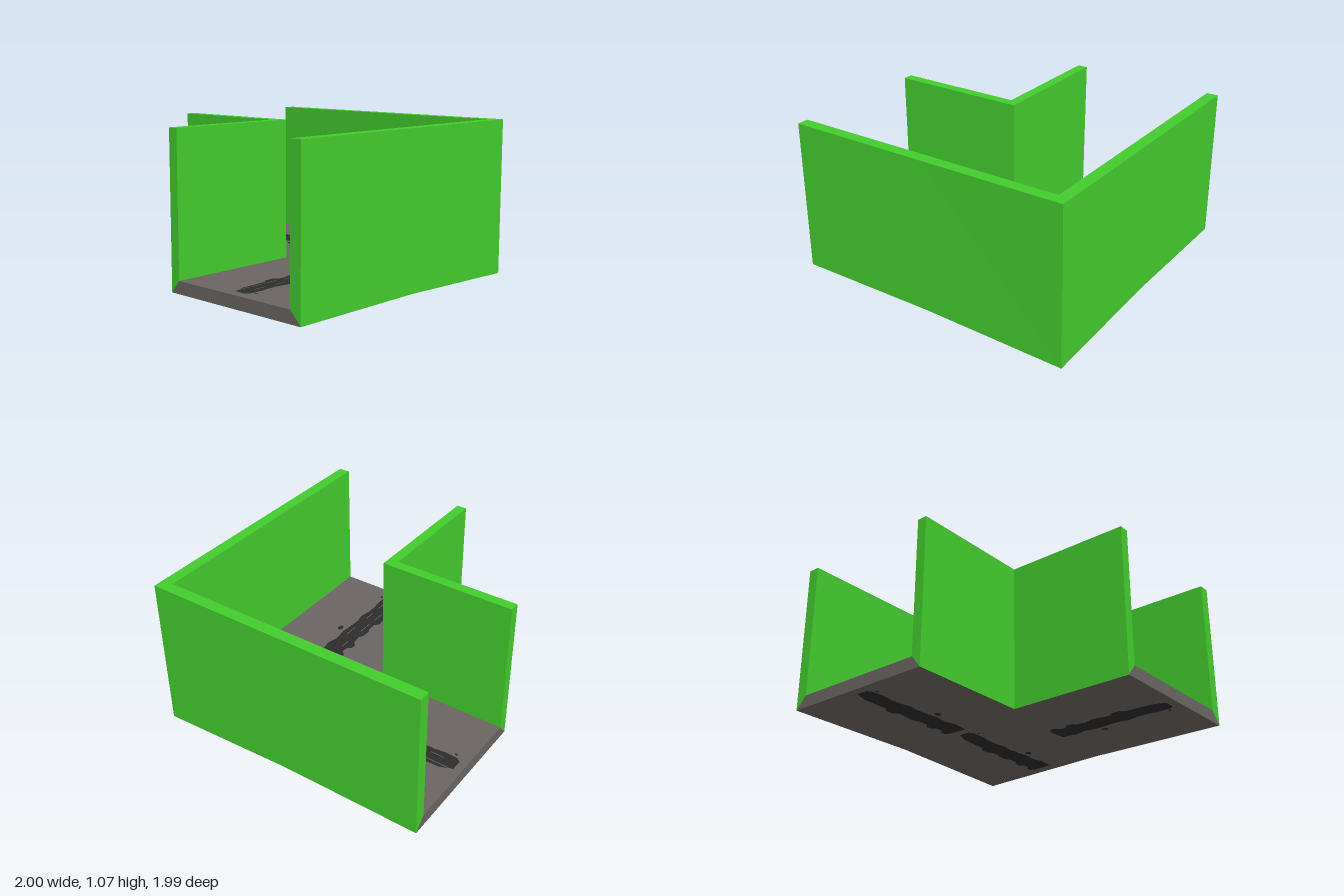
import * as THREE from 'three';

const OUT = 0.99, OUT_IN = 0.91, IN_IN = -0.05, IN = -0.12; // wall offsets across the corridor
const TOP = 1.07, FLOOR = 0.12, BASE = 0.035;

// Point of the L-shaped sweep: offset o across the corridor, station s along it (corner is 2)
function sweepPoint([o, y], s) {
  if (s === 2) return o === OUT && y === BASE ? [1, 0, 0.985] : [o, y, o];
  const mid = o > 0.5 ? 0 : -0.2;
  if (s < 2) return [s === 0 ? -1 : mid, y, o];
  return [o, y, s === 4 ? -0.995 : mid];
}

// Sweep a four-point section round the corner and cap both ends
function sweep(section) {
  const pos = [];
  const tri = (...p) => p.forEach((q) => pos.push(...q));
  for (let s = 0; s < 4; s++) {
    section.forEach((a, i) => {
      const b = section[(i + 1) % 4];
      const a0 = sweepPoint(a, s), a1 = sweepPoint(a, s + 1);
      const b0 = sweepPoint(b, s), b1 = sweepPoint(b, s + 1);
      if (s < 2) { tri(a0, a1, b0); tri(a1, b1, b0); }
      else { tri(a0, a1, b1); tri(a0, b1, b0); }
    });
  }
  const [p0, p1, p2, p3] = section.map((p) => sweepPoint(p, 0));
  tri(p0, p1, p2); tri(p0, p2, p3);
  const [q0, q1, q2, q3] = section.map((p) => sweepPoint(p, 4));
  tri(q0, q2, q1); tri(q0, q3, q2);
  const geo = new THREE.BufferGeometry();
  geo.setAttribute('position', new THREE.Float32BufferAttribute(pos, 3));
  geo.computeVertexNormals();
  return geo;
}

// Height of the underside, which sags toward the outer corner
function underside(x, z) {
  const w = (Math.min(x, z) - 0.108 * Math.max(x, z) + 0.107) / 0.99;
  return BASE * (1 - Math.max(0, w));
}

// Ragged edges of a painted stripe: [distance along, distance across]
const RIGHT = [[0, 0.03], [0.05, 0.05], [0.09, 0.065], [0.28, 0.07], [0.31, 0.095], [0.37, 0.1], [0.4, 0.07],
  [0.45, 0.07], [0.5, 0.085], [0.55, 0.085], [0.6, 0.065], [0.67, 0.075], [0.69, 0.1], [0.73, 0.1], [0.76, 0.07],
  [0.81, 0.07], [0.83, 0.1], [0.87, 0.1], [0.89, 0.07]];
const LEFT = [[0, -0.05], [0.03, -0.07], [0.12, -0.075], [0.2, -0.062], [0.28, -0.065], [0.36, -0.08], [0.42, -0.065],
  [0.52, -0.07], [0.6, -0.078], [0.7, -0.064], [0.78, -0.085], [0.83, -0.075], [0.89, -0.07]];

function edgeAt(table, u) {
  const i = Math.max(1, table.findIndex((p) => p[0] >= u - 1e-6));
  const [u0, v0] = table[i - 1], [u1, v1] = table[i];
  return v0 + ((v1 - v0) * (u - u0)) / (u1 - u0);
}

function stripeGeometry() {
  const geo = new THREE.PlaneGeometry(0.89, 1, 89, 2).translate(0.445, 0.5, 0);
  const p = geo.attributes.position;
  for (let i = 0; i < p.count; i++) {
    const u = Math.min(0.89, Math.max(0, p.getX(i)));
    p.setY(i, THREE.MathUtils.lerp(edgeAt(LEFT, u), edgeAt(RIGHT, u), p.getY(i)));
  }
  return geo;
}

const blob = (u, v, ru, rv) => new THREE.CircleGeometry(1, 12).scale(ru, rv, 1).translate(u, v, 0);
const slit = (u, v, len) => new THREE.PlaneGeometry(len, 0.006, 8, 1).translate(u, v, 0);

// Lay flat (along, across) geometry onto the floor
function lay(geo, place, height) {
  const p = geo.attributes.position;
  for (let i = 0; i < p.count; i++) {
    const [x, z] = place(p.getX(i), p.getY(i));
    p.setXYZ(i, x, height(x, z), z);
  }
  geo.computeVertexNormals();
  return geo;
}

export function createModel() {
  const green = new THREE.MeshStandardMaterial({ color: 0x43cb2d });
  const grey = new THREE.MeshStandardMaterial({ color: 0x6a6562 });
  const dark = new THREE.MeshStandardMaterial({ color: 0x2c2c2c, side: THREE.DoubleSide });
  green.name = 'wallGreen';
  grey.name = 'floorGrey';
  dark.name = 'paintDark';

  const model = new THREE.Group();
  model.name = 'cornerCorridor';
  const add = (name, geo, mat, parent = model) => {
    const mesh = new THREE.Mesh(geo, mat);
    mesh.name = name;
    parent.add(mesh);
  };

  // Walls and floor slab, with bevelled joints between them
  add('outerWall', sweep([[OUT, BASE], [OUT, TOP], [OUT_IN, TOP], [OUT_IN, FLOOR]]), green);
  add('innerWall', sweep([[IN_IN, FLOOR], [IN_IN, TOP], [IN, TOP], [IN, BASE]]), green);
  add('floor', sweep([[OUT, BASE], [OUT_IN, FLOOR], [IN_IN, FLOOR], [IN, BASE]]), grey);

  // Worn stripes, on the floor and on the underside
  const places = {
    backStripe: (u, v) => [0.44 + v, -0.94 + u],
    cornerStripe: (u, v) => [0.44 + v, 0.01 + u],
    sideStripe: (u, v) => [-0.94 + u, 0.43 - v],
  };
  const sides = {
    Upper: (lift) => () => FLOOR + lift,
    Lower: (lift) => (x, z) => underside(x, z) - lift,
  };
  for (const [name, place] of Object.entries(places)) {
    for (const [side, height] of Object.entries(sides)) {
      const group = new THREE.Group();
      group.name = name + side;
      model.add(group);
      add('stripe', lay(stripeGeometry(), place, height(0.003)), dark, group);
      add('splash', lay(blob(0.57, -0.12, 0.027, 0.02), place, height(0.003)), dark, group);
      add('speck', lay(blob(0.05, -0.095, 0.012, 0.008), place, height(0.003)), dark, group);
      // Thin gaps worn through the paint
      if (side === 'Upper') {
        for (const [u, v, len] of [[0.12, 0.04, 0.2], [0.15, -0.025, 0.1], [0.3, 0.04, 0.1], [0.32, -0.025, 0.08],
          [0.47, 0.035, 0.12], [0.56, -0.03, 0.1], [0.72, 0.03, 0.08]]) {
          add('gap', lay(slit(u, v, len), place, height(0.005)), grey, group);
        }
      }
    }
  }
  return model;
}
